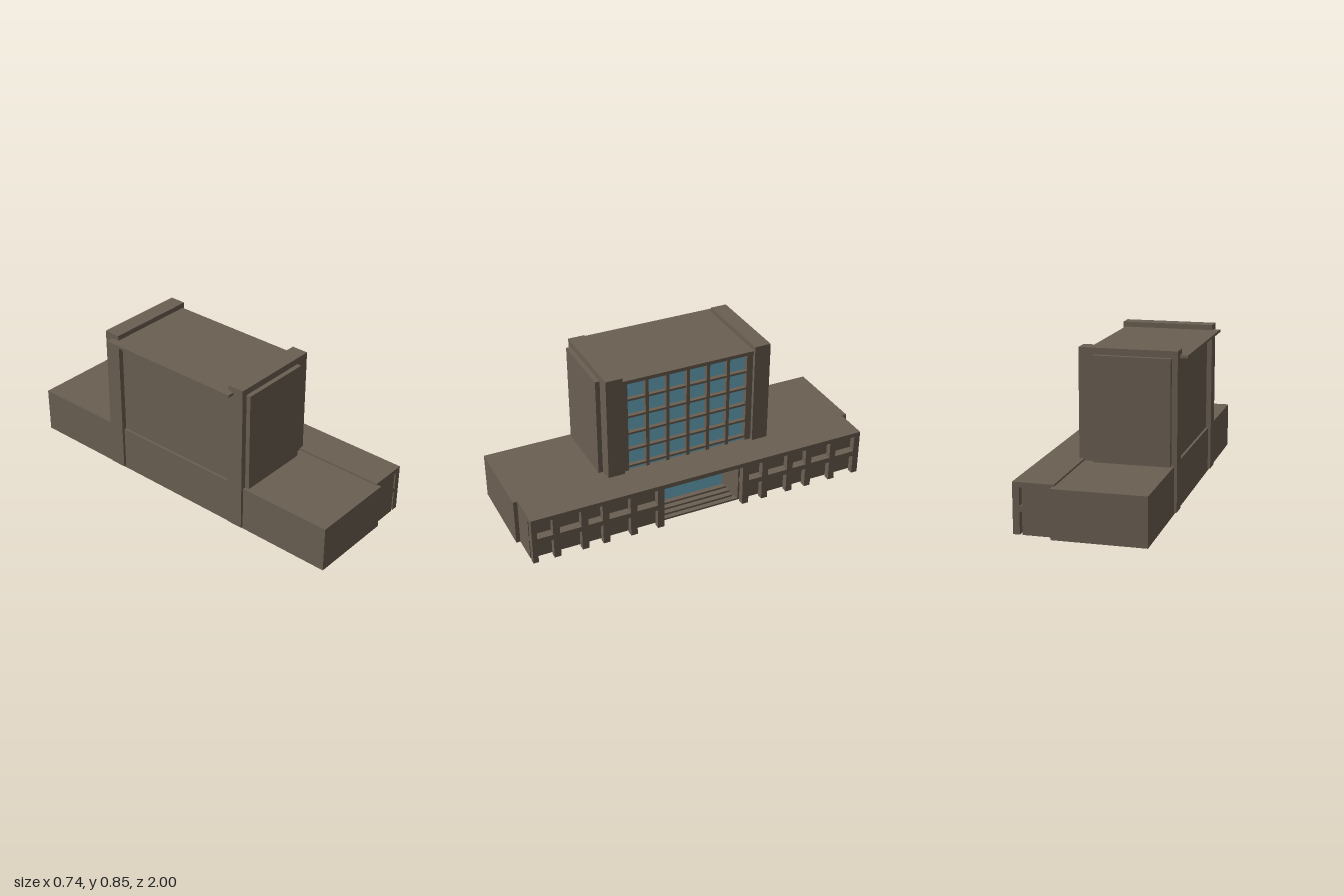
import * as THREE from 'three';

export function createModel() {
  const model = new THREE.Group();
  model.name = 'officeBuilding';
  const stone = new THREE.MeshStandardMaterial({ color: 0x6b5f52 });
  stone.name = 'brownStone';
  const glass = new THREE.MeshStandardMaterial({ color: 0x71b3cc });
  glass.name = 'blueGlass';

  // Box given by its limits on each axis
  function box(name, [x0, x1], [y0, y1], [z0, z1], material = stone, parent = model) {
    const mesh = new THREE.Mesh(new THREE.BoxGeometry(x1 - x0, y1 - y0, z1 - z0), material);
    mesh.position.set((x0 + x1) / 2, (y0 + y1) / 2, (z0 + z1) / 2);
    mesh.name = name;
    parent.add(mesh);
    return mesh;
  }
  function group(name) {
    const g = new THREE.Group();
    g.name = name;
    model.add(g);
    return g;
  }

  const MID = 0.008; // centre line of the wing and tower along z

  // Long low block
  box('baseBlock', [-0.315, 0.167], [0, 0.255], [-1, 1]);

  // Front wing, with a splayed entrance recess cut into its plan
  const plan = new THREE.Shape([
    [0.165, -0.97], [0.322, -0.97], [0.322, -0.23], [0.2, -0.193],
    [0.2, 0.193], [0.322, 0.23], [0.322, 0.97], [0.165, 0.97],
  ].map(([x, y]) => new THREE.Vector2(x, y)));
  const wingGeometry = new THREE.ExtrudeGeometry(plan, { depth: 0.242, bevelEnabled: false });
  wingGeometry.rotateX(-Math.PI / 2);
  const wing = new THREE.Mesh(wingGeometry, stone);
  wing.name = 'frontWing';
  wing.position.z = MID;
  model.add(wing);
  box('wingRoof', [0.158, 0.37], [0.24, 0.265], [MID - 0.97, MID + 0.97]);

  // Entrance: floor, steps and glazing
  const entrance = group('entrance');
  box('entranceFloor', [0.19, 0.322], [0, 0.01], [MID - 0.23, MID + 0.23], stone, entrance);
  [[0.235, 0.043], [0.265, 0.032], [0.295, 0.021]].forEach(([x, y]) =>
    box('step', [0.19, x], [0, y], [MID - 0.21, MID + 0.21], stone, entrance));
  box('entranceGlass', [0.199, 0.206], [0.043, 0.24], [MID - 0.193, MID + 0.193], glass, entrance);

  // Free-standing screens: posts between alternating narrow and wide openings
  const posts = [[0.233, 0.271], [0.389, 0.427], [0.545, 0.583], [0.663, 0.7], [0.818, 0.856], [0.94, 0.97]];
  const narrowFirst = [[0.233, 0.271], [0.352, 0.388], [0.506, 0.543], [0.624, 0.661], [0.779, 0.816], [0.934, 0.97]];
  [[1, [[0.233, 0.271], [0.389, 0.426], [0.545, 0.582], [0.663, 0.7], [0.818, 0.855], [0.941, 0.97]]],
    [-1, narrowFirst]].forEach(([side, spans]) => {
    const screen = group(side > 0 ? 'leftScreen' : 'rightScreen');
    const zSpan = ([a, b]) => [MID + side * a, MID + side * b].sort((p, q) => p - q);
    spans.forEach(s => box('screenPost', [0.335, 0.37], [0, 0.24], zSpan(s), stone, screen));
    box('screenRail', [0.32, 0.369], [0.115, 0.145], zSpan([0.234, 0.969]), stone, screen);
  });

  // Tower: core, roof slab, end piers and end panels
  box('towerCore', [-0.302, 0.13], [0.2, 0.806], [MID - 0.4, MID + 0.4]);
  box('towerRoof', [-0.37, 0.173], [0.803, 0.817], [-0.42, 0.42]);
  for (const side of [-1, 1]) {
    const z = 0.004 + side * 0.427;
    box('endPier', [-0.33, 0.185], [0.012, 0.845], [z - 0.046, z + 0.046]);
    const p = 0.004 + side * 0.485;
    box('endPanel', [-0.3, 0.105], [0.2, 0.81], [p - 0.013, p + 0.013]);
  }

  // Window wall: glass sheet behind a grid of mullions and transoms
  const windows = group('windowWall');
  box('windowGlass', [0.132, 0.14], [0.25, 0.8], [-0.36, 0.36], glass, windows);
  for (const side of [-1, 1]) {
    const z = 0.005 + side * 0.368;
    box('windowJamb', [0.13, 0.165], [0.25, 0.804], [z - 0.022, z + 0.022], stone, windows);
  }
  for (let i = 1; i < 6; i++) {
    const z = 0.005 + (i - 3) * 0.1178;
    box('mullion', [0.13, 0.165], [0.25, 0.804], [z - 0.009, z + 0.009], stone, windows);
  }
  box('windowHead', [0.13, 0.165], [0.792, 0.804], [-0.36, 0.36], stone, windows);
  for (let i = 1; i < 6; i++) {
    const y = 0.797 - i * 0.1017;
    box('transom', [0.13, 0.164], [y - 0.006, y + 0.006], [-0.36, 0.36], stone, windows);
  }
  return model;
}
